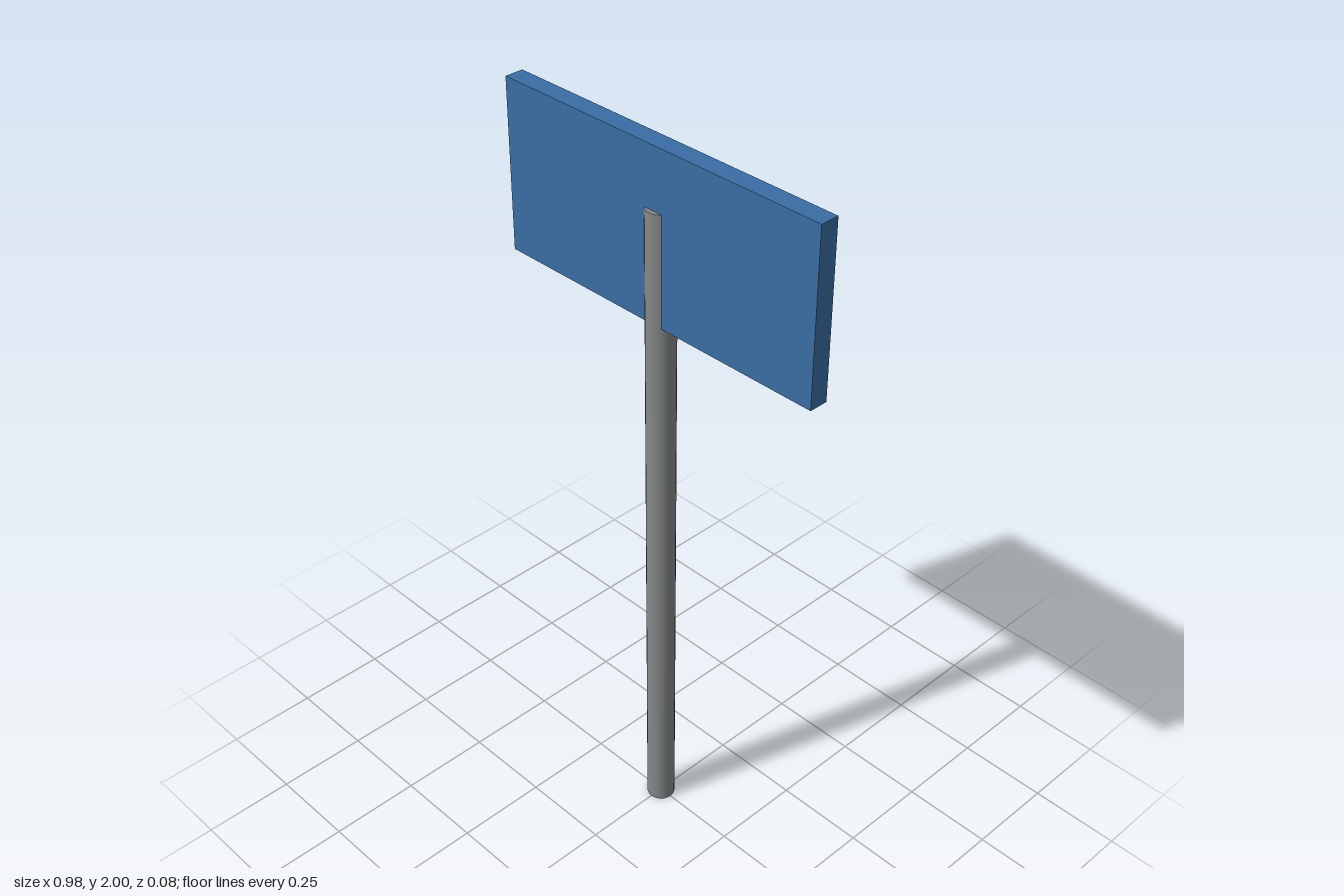
import * as THREE from 'three';

export function createModel() {
  const model = new THREE.Group();
  model.name = 'signpost';

  const boardBlue = new THREE.MeshStandardMaterial({ color: 0x3a6ea5 });
  boardBlue.name = 'board blue';
  const postGrey = new THREE.MeshStandardMaterial({ color: 0x858889 });
  postGrey.name = 'post grey';

  // Round post, running up through the board
  const postHeight = 1.84;
  const post = new THREE.Mesh(new THREE.CylinderGeometry(0.038, 0.038, postHeight, 24), postGrey);
  post.name = 'post';
  post.position.y = postHeight / 2;

  // Rectangular sign board
  const boardHeight = 0.455;
  const board = new THREE.Mesh(new THREE.BoxGeometry(0.982, boardHeight, 0.051), boardBlue);
  board.name = 'signBoard';
  board.position.y = 2 - boardHeight / 2;

  model.add(post, board);
  return model;
}
